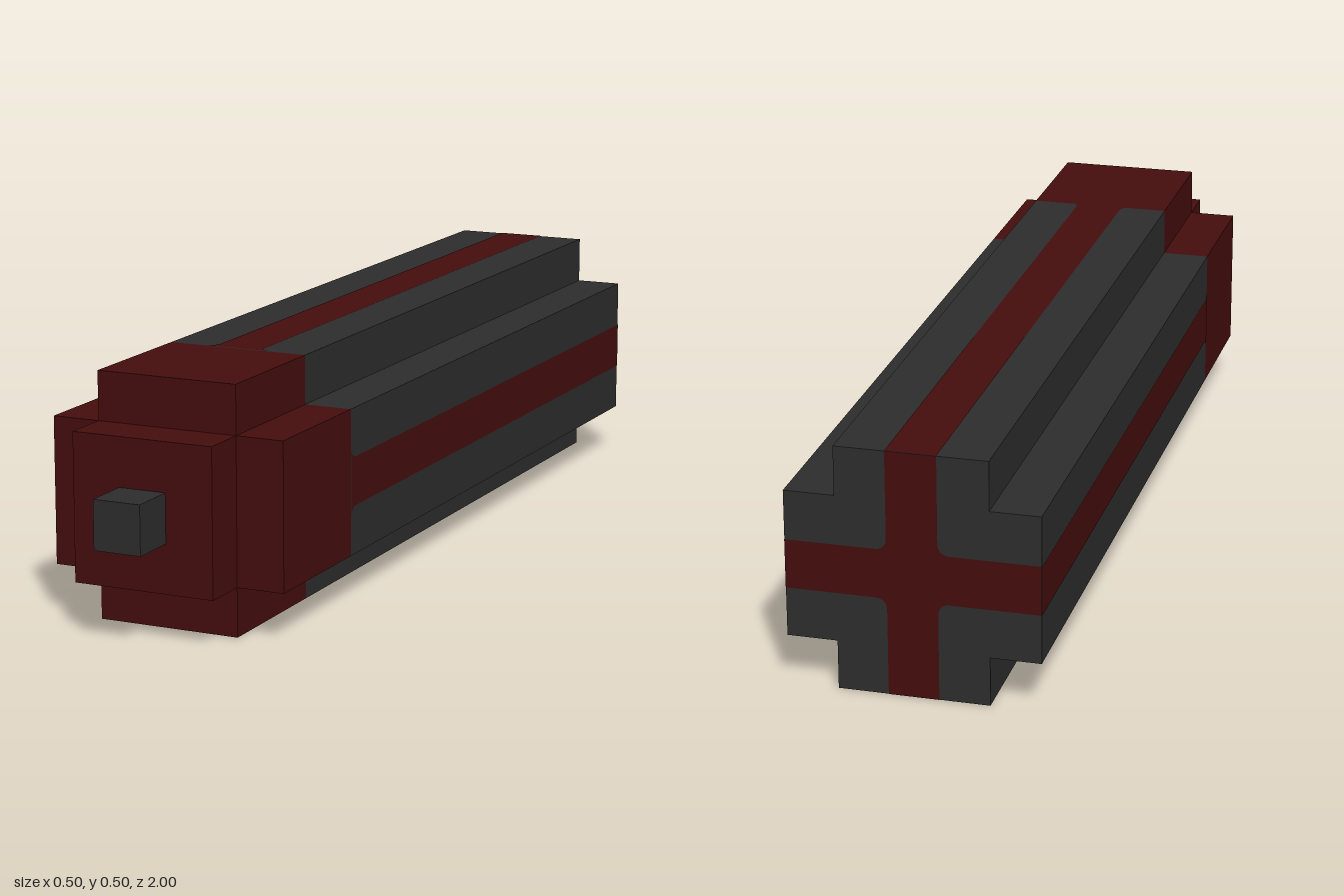
import * as THREE from 'three';

const darkGrey = new THREE.MeshStandardMaterial({ color: 0x2d2d2d });
const darkRed = new THREE.MeshStandardMaterial({ color: 0x440d0d });
darkGrey.name = 'dark grey';
darkRed.name = 'dark red';

const MID = 0.25;   // height of the long axis
const LIFT = 0.001; // painted faces sit just above the surface

// Plus-shaped outline centred on the axis; r rounds the inner corners
function plusShape(half, arm, r = 0) {
  const s = new THREE.Shape();
  s.moveTo(half, -arm);
  for (let i = 0; i < 4; i++) {
    const c = Math.round(Math.cos(i * Math.PI / 2)), n = Math.round(Math.sin(i * Math.PI / 2));
    const at = (x, y) => [x * c - y * n, x * n + y * c];
    s.lineTo(...at(half, arm));
    s.lineTo(...at(arm + r, arm));
    if (r) s.quadraticCurveTo(...at(arm, arm), ...at(arm, arm + r));
    s.lineTo(...at(arm, half));
  }
  return s;
}

export function createModel() {
  const model = new THREE.Group();
  model.name = 'crossSectionBar';
  const axis = new THREE.Group();
  axis.name = 'barParts';
  axis.position.y = MID;
  model.add(axis);

  const add = (name, geometry, material, z = 0) => {
    const mesh = new THREE.Mesh(geometry, material);
    mesh.name = name;
    mesh.position.z = z;
    axis.add(mesh);
    return mesh;
  };

  // Long grey body and red head share one cross-section
  const section = plusShape(0.25, 0.15);
  const prism = (depth) => new THREE.ExtrudeGeometry(section, { depth, bevelEnabled: false });
  add('body', prism(1.5), darkGrey, -1);
  add('head', prism(0.3), darkRed, 0.5);

  // Stepped nose and tip
  add('nose', new THREE.BoxGeometry(0.3, 0.3, 0.1), darkRed, 0.85);
  add('tip', new THREE.BoxGeometry(0.1, 0.1, 0.1), darkGrey, 0.95);

  // Stripes on top and both sides, flaring into the head
  const stripe = new THREE.Shape();
  stripe.moveTo(-0.075, -0.5);
  stripe.lineTo(0.075, -0.5);
  stripe.quadraticCurveTo(0.05, -0.5, 0.05, -0.475);
  stripe.lineTo(0.05, 1);
  stripe.lineTo(-0.05, 1);
  stripe.lineTo(-0.05, -0.475);
  stripe.quadraticCurveTo(-0.05, -0.5, -0.075, -0.5);
  const stripeGeometry = new THREE.ShapeGeometry(stripe).rotateX(-Math.PI / 2).translate(0, 0.25 + LIFT, 0);
  ['topStripe', 'leftStripe', 'rightStripe'].forEach((name, i) => {
    add(name, stripeGeometry, darkRed).rotation.z = [0, -1, 1][i] * Math.PI / 2;
  });

  // Cross on the back end
  const cross = new THREE.ShapeGeometry(plusShape(0.25, 0.05, 0.025)).rotateY(Math.PI);
  add('backCross', cross, darkRed, -1 - LIFT);

  // Short rounded end of the cross, wrapped under the body
  const tab = new THREE.Shape();
  tab.moveTo(-0.05, 0);
  tab.lineTo(0.05, 0);
  tab.lineTo(0.05, 0.03);
  tab.absarc(0, 0.03, 0.05, 0, Math.PI, false);
  const tabGeometry = new THREE.ShapeGeometry(tab).rotateX(Math.PI / 2).translate(0, -0.25 - LIFT, -1);
  add('undersideTab', tabGeometry, darkRed);

  return model;
}
